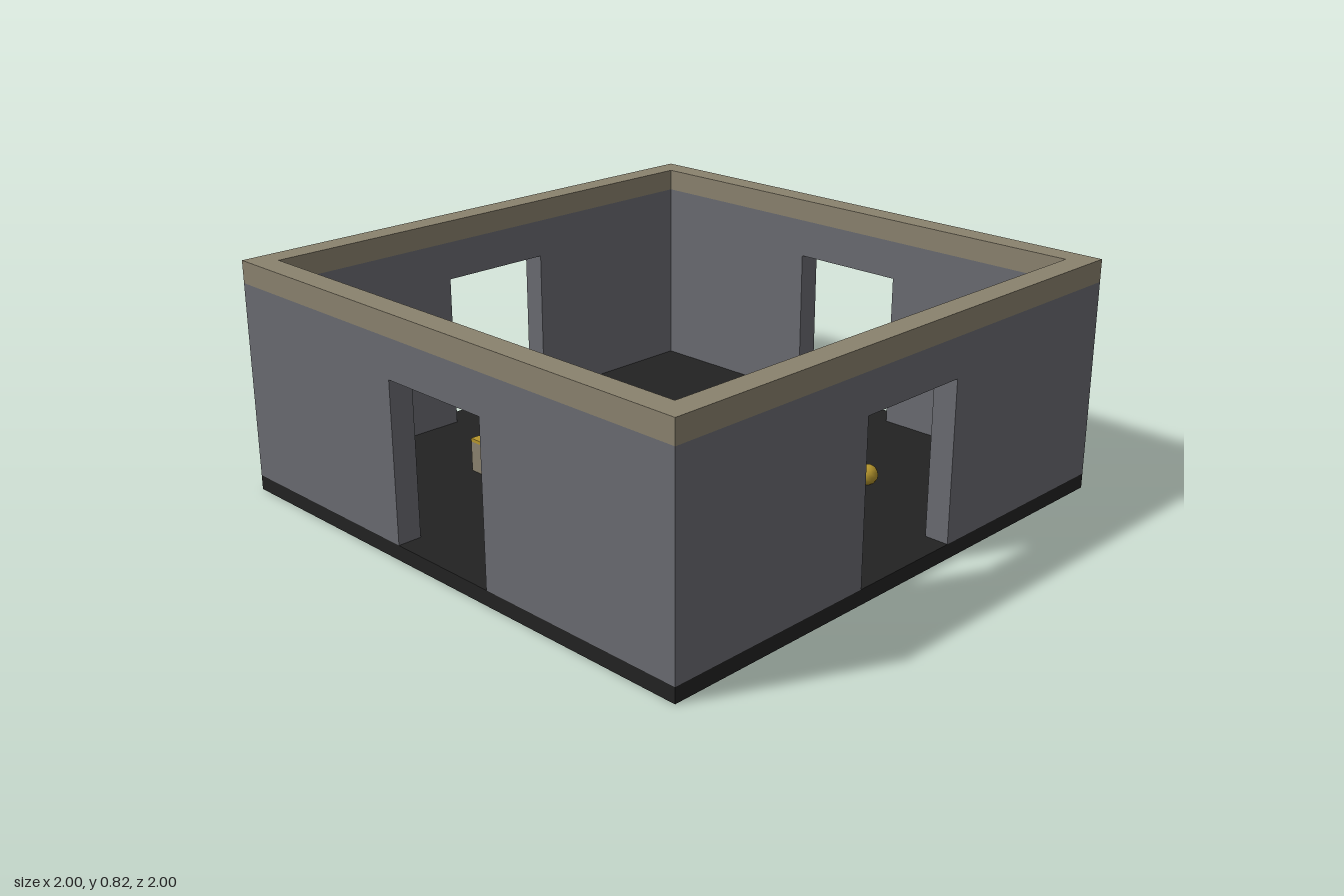
import * as THREE from 'three';

const paint = (name, color) => {
  const m = new THREE.MeshStandardMaterial({ color });
  m.name = name;
  return m;
};

export function createModel() {
  const stone = paint('grey stone', 0x6a6b71);
  const tan = paint('tan', 0x8a826e);
  const dark = paint('dark floor', 0x222222);
  const gold = paint('gold', 0xb5952d);

  const room = new THREE.Group();
  room.name = 'room';
  const add = (parent, name, geometry, material, x = 0, y = 0, z = 0) => {
    const mesh = new THREE.Mesh(geometry, material);
    mesh.name = name;
    mesh.position.set(x, y, z);
    parent.add(mesh);
    return mesh;
  };

  const floorTop = 0.052, wallTop = 0.742, capTop = 0.82;
  const thick = 0.085, inner = 1 - thick;
  const doorHalf = 0.215, doorTop = 0.605;

  // Floor slab
  add(room, 'floor', new THREE.BoxGeometry(2, floorTop, 2), dark, 0, floorTop / 2, 0);

  // Wall outline with a doorway cut up from the floor
  const outline = new THREE.Shape([
    [-1, floorTop], [-doorHalf, floorTop], [-doorHalf, doorTop], [doorHalf, doorTop],
    [doorHalf, floorTop], [inner, floorTop], [inner, wallTop], [-1, wallTop],
  ].map(([x, y]) => new THREE.Vector2(x, y)));
  const wallGeometry = new THREE.ExtrudeGeometry(outline, { depth: thick, bevelEnabled: false });
  wallGeometry.translate(0, 0, inner);

  // Four walls and their caps, butted around the corners
  const capHeight = capTop - wallTop;
  const capGeometry = new THREE.BoxGeometry(2 - thick, capHeight, thick);
  capGeometry.translate(-thick / 2, wallTop + capHeight / 2, 1 - thick / 2);
  ['front', 'left', 'back', 'right'].forEach((side, i) => {
    const group = new THREE.Group();
    group.name = side + 'Wall';
    group.rotation.y = i * Math.PI / 2;
    add(group, 'wall', wallGeometry, stone);
    add(group, 'wallCap', capGeometry, tan);
    room.add(group);
  });

  // Crates with gold lids: x, z, top height
  const crates = [
    [-0.435, 0.4, 0.172], [-0.168, 0.4, 0.172], [0.098, 0.4, 0.168],
    [-0.435, 0.1, 0.18], [-0.168, 0.1, 0.18],
  ];
  const lid = 0.012;
  for (const [x, z, top] of crates) {
    const crate = new THREE.Group();
    crate.name = 'crate';
    crate.position.set(x, 0, z);
    const h = top - lid - floorTop;
    add(crate, 'crateBody', new THREE.BoxGeometry(0.166, h, 0.124), tan, 0, floorTop + h / 2, 0);
    add(crate, 'crateLid', new THREE.BoxGeometry(0.166, lid, 0.124), gold, 0, top - lid / 2, 0);
    room.add(crate);
  }

  // Pair of gold balls on the floor
  const ball = new THREE.SphereGeometry(0.036, 12, 8);
  for (const x of [0.363, 0.53]) add(room, 'ball', ball, gold, x, 0.089, -0.405);

  return room;
}
